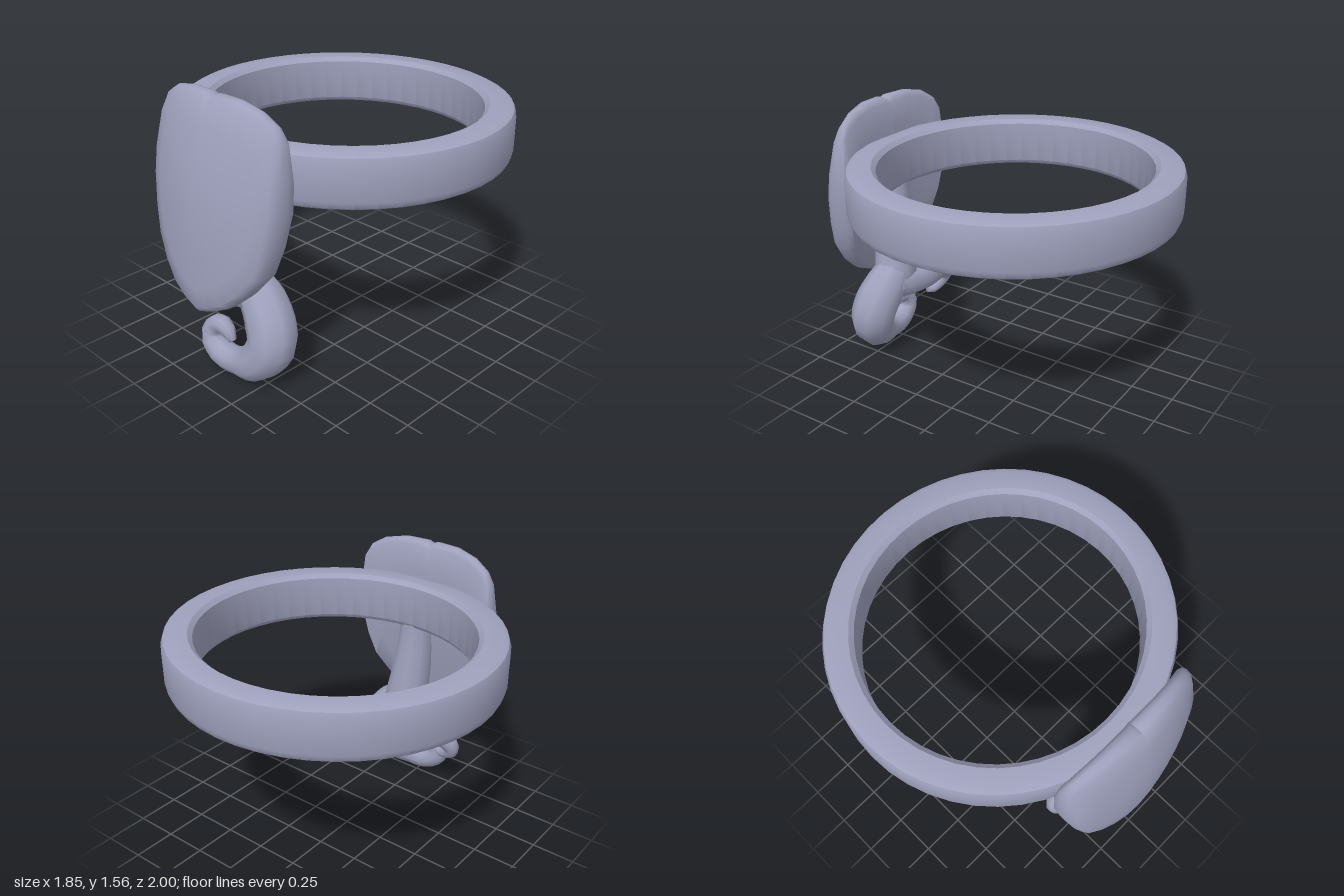
import * as THREE from 'three';
import { toCreasedNormals } from 'three/addons/utils/BufferGeometryUtils.js';

const metal = new THREE.MeshStandardMaterial({ color: 0x9fa1bd });
metal.name = 'blue grey metal';

function part(name, geometry, crease) {
  const mesh = new THREE.Mesh(toCreasedNormals(geometry, crease), metal);
  mesh.name = name;
  return mesh;
}

// Tapered tube through points [x, y, z, radius], closed at both ends
function taperedTube(points, steps, sides) {
  const curve = new THREE.CatmullRomCurve3(points.map(p => new THREE.Vector3(p[0], p[1], p[2])));
  const geo = new THREE.TubeGeometry(curve, steps, 1, sides, false);
  const pos = geo.attributes.position;
  const v = new THREE.Vector3();
  for (let i = 0; i <= steps; i++) {
    const centre = curve.getPointAt(i / steps);
    const t = curve.getUtoTmapping(i / steps) * (points.length - 1);
    const k = Math.min(Math.floor(t), points.length - 2);
    const end = i === 0 || i === steps;
    const r = end ? 0.001 : THREE.MathUtils.lerp(points[k][3], points[k + 1][3], t - k);
    for (let j = 0; j <= sides; j++) {
      const n = i * (sides + 1) + j;
      v.fromBufferAttribute(pos, n).sub(centre).multiplyScalar(r).add(centre);
      pos.setXYZ(n, v.x, v.y, v.z);
    }
  }
  return geo;
}

// Curved shield: scaled copies of one outline, bulged in front and hollow behind
function shieldGeometry() {
  const half = [[0, 0.425], [0.1, 0.46], [0.2, 0.51], [0.3, 0.6], [0.39, 0.72], [0.43, 0.87],
    [0.46, 1.05], [0.46, 1.2], [0.44, 1.4], [0.4, 1.47], [0.31, 1.525], [0.18, 1.555], [0.03, 1.555]];
  const outline = [...half, [0, 1.54], ...half.slice(1).reverse().map(([x, y]) => [-x, y])];
  const midY = 1.0;
  const front = (x, y) => 1 - 0.15 * Math.max(0, y - 0.55) ** 3 - 0.11 * (x / 0.45) ** 2;
  const back = (y, s) => 0.7 + 0.05 * (1 - s * s) +
    (y < 1.2 ? 0.17 * ((1.2 - y) / 0.75) ** 2 : 0.04 * ((y - 1.2) / 0.3) ** 2);
  // [outline scale, blend from back 0 to front 1]
  const rings = [[0, 1], [0.4, 1], [0.75, 1], [0.94, 1], [0.99, 0.8], [1, 0.45],
    [0.985, 0.15], [0.94, 0], [0.7, 0], [0.35, 0], [0, 0]];
  const pos = [], index = [], n = outline.length;
  rings.forEach(([s, mix], i) => outline.forEach(([ox, oy], j) => {
    const x = ox * s, y = midY + (oy - midY) * s;
    pos.push(x, y, THREE.MathUtils.lerp(back(y, s), front(x, y), mix));
    if (i === rings.length - 1) return;
    const a = i * n + j, b = i * n + (j + 1) % n;
    if (i < rings.length - 2) index.push(a, a + n, b + n);
    else index.push(a, a + n, b);
    if (i > 0 && i < rings.length - 2) index.push(a, b + n, b);
  }));
  const geo = new THREE.BufferGeometry();
  geo.setAttribute('position', new THREE.Float32BufferAttribute(pos, 3));
  geo.setIndex(index);
  return geo;
}

export function createModel() {
  const model = new THREE.Group();
  model.name = 'shieldRing';

  // Band with softened edges, slightly narrower front to back
  const profile = [[0.775, 1.055], [0.89, 1.05], [0.915, 1.065], [0.927, 1.1], [0.927, 1.285],
    [0.915, 1.32], [0.89, 1.333], [0.785, 1.333], [0.76, 1.31], [0.755, 1.08], [0.775, 1.055]];
  const band = part('band', new THREE.LatheGeometry(
    profile.map(([r, y]) => new THREE.Vector2(r, y)), 48), 0.7);
  band.scale.z = 0.97;
  band.position.z = -0.1;
  model.add(band);

  model.add(part('shield', shieldGeometry(), 0.8));

  // Stem behind the shield
  model.add(part('stem', taperedTube([[0.04, 1.2, 0.74, 0.1], [0.04, 1.0, 0.735, 0.1],
    [0.05, 0.8, 0.725, 0.115], [0.07, 0.6, 0.71, 0.13], [0.1, 0.46, 0.7, 0.13],
    [0.13, 0.36, 0.7, 0.08]], 12, 10), 1.1));

  // Thick curl sweeping to the left and under
  model.add(part('thickCurl', taperedTube([[0.08, 0.54, 0.7, 0.1], [0.17, 0.46, 0.7, 0.125],
    [0.25, 0.36, 0.72, 0.135], [0.28, 0.25, 0.74, 0.135], [0.2, 0.125, 0.78, 0.11],
    [0.07, 0.075, 0.8, 0.075], [-0.05, 0.08, 0.81, 0.075], [-0.125, 0.15, 0.81, 0.068],
    [-0.105, 0.225, 0.8, 0.055], [-0.035, 0.248, 0.8, 0.05], [0.015, 0.205, 0.8, 0.035],
    [0, 0.155, 0.8, 0.02]], 28, 9), 1.1));

  // Thin curl reaching to the right
  model.add(part('thinCurl', taperedTube([[0.18, 0.45, 0.68, 0.1], [0.06, 0.44, 0.65, 0.1],
    [-0.08, 0.43, 0.615, 0.085], [-0.2, 0.42, 0.615, 0.068], [-0.285, 0.385, 0.63, 0.058],
    [-0.32, 0.32, 0.65, 0.045], [-0.27, 0.265, 0.67, 0.036], [-0.205, 0.25, 0.68, 0.026],
    [-0.178, 0.285, 0.68, 0.01]], 22, 8), 1.1));

  return model;
}
